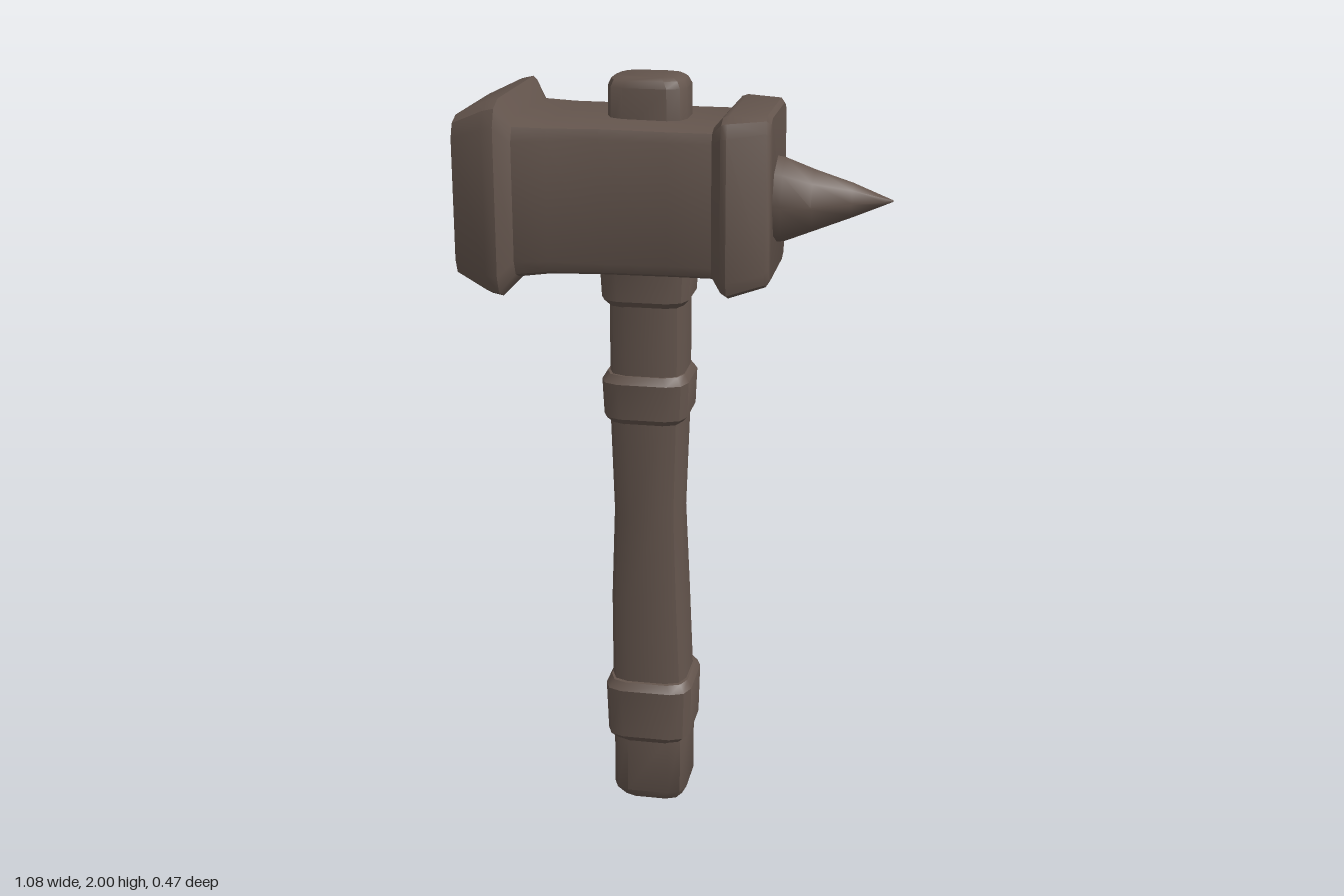
import * as THREE from 'three';
import { toCreasedNormals } from 'three/addons/utils/BufferGeometryUtils.js';

// Rounded rectangle ring, counter-clockwise in (u, v)
function ring(u0, u1, v0, v1, c) {
  const cu = Math.min(c, (u1 - u0) * 0.49), cv = Math.min(c, (v1 - v0) * 0.49);
  const corners = [[u1 - cu, v1 - cv], [u0 + cu, v1 - cv], [u0 + cu, v0 + cv], [u1 - cu, v0 + cv]];
  const points = [];
  corners.forEach(([u, v], k) => {
    for (let s = 0; s < 3; s++) {
      const a = (k + s / 2) * Math.PI / 2;
      points.push([u + cu * Math.cos(a), v + cv * Math.sin(a)]);
    }
  });
  return points;
}

// Loft through sections [t, u0, u1, v0, v1, corner]; place maps (t, u, v) to xyz
function loft(sections, place, crease = 0.62) {
  const n = 12, pos = [], index = [];
  for (const [t, ...r] of sections) for (const [u, v] of ring(...r)) pos.push(...place(t, u, v));
  for (let s = 0; s < sections.length - 1; s++) {
    for (let i = 0; i < n; i++) {
      const a = s * n + i, b = s * n + (i + 1) % n;
      index.push(a, b, b + n, a, b + n, a + n);
    }
  }
  const top = (sections.length - 1) * n;
  for (let i = 1; i < n - 1; i++) {
    index.push(0, i + 1, i);
    index.push(top, top + i, top + i + 1);
  }
  const g = new THREE.BufferGeometry();
  g.setAttribute('position', new THREE.Float32BufferAttribute(pos, 3));
  g.setIndex(index);
  return toCreasedNormals(g, crease);
}

const alongX = (t, u, v) => [t, u, v]; // u = y, v = z
const alongY = (t, u, v) => [v, t, u]; // u = z, v = x

export function createModel() {
  const model = new THREE.Group();
  const brown = new THREE.MeshStandardMaterial({ color: 0x64554d });
  brown.name = 'dull brown';
  const add = (name, geometry) => {
    const mesh = new THREE.Mesh(geometry, brown);
    mesh.name = name;
    model.add(mesh);
  };

  // Block head with a flared striking face and a collar at the spike end
  add('hammerHead', loft([
    [-0.54, 1.53, 1.88, -0.18, 0.18, 0.04],
    [-0.535, 1.505, 1.91, -0.205, 0.2, 0.05],
    [-0.45, 1.465, 1.95, -0.235, 0.23, 0.06],
    [-0.42, 1.46, 1.957, -0.237, 0.233, 0.06],
    [-0.385, 1.505, 1.905, -0.2, 0.197, 0.05],
    [-0.3, 1.517, 1.9, -0.192, 0.188, 0.04],
    [-0.17, 1.52, 1.9, -0.183, 0.18, 0.035],
    [0, 1.52, 1.897, -0.18, 0.175, 0.035],
    [0.11, 1.52, 1.897, -0.179, 0.175, 0.035],
    [0.135, 1.485, 1.925, -0.203, 0.199, 0.045],
    [0.15, 1.475, 1.93, -0.207, 0.203, 0.05],
    [0.24, 1.5, 1.93, -0.162, 0.162, 0.04],
    [0.25, 1.515, 1.92, -0.15, 0.15, 0.04],
  ], alongX));

  // Pointed rear spike
  add('spike', loft([
    [0.23, 1.585, 1.81, -0.105, 0.105, 0.2],
    [0.27, 1.59, 1.803, -0.105, 0.105, 0.2],
    [0.345, 1.62, 1.775, -0.1, 0.1, 0.2],
    [0.44, 1.658, 1.745, -0.048, 0.048, 0.2],
    [0.515, 1.69, 1.715, -0.014, 0.014, 0.2],
    [0.54, 1.701, 1.705, -0.002, 0.002, 0.2],
  ], alongX, 0.9));

  // Slightly waisted, uneven shaft
  add('handleShaft', loft([
    [0, -0.08, 0.085, -0.15, 0.015, 0.04],
    [0.03, -0.1, 0.105, -0.172, 0.03, 0.045],
    [0.2, -0.1, 0.104, -0.172, 0.031, 0.045],
    [0.38, -0.1, 0.1, -0.176, 0.028, 0.05],
    [0.6, -0.098, 0.1, -0.176, 0.02, 0.05],
    [0.85, -0.078, 0.098, -0.168, 0.014, 0.055],
    [1.1, -0.097, 0.1, -0.174, 0.02, 0.05],
    [1.3, -0.097, 0.098, -0.174, 0.023, 0.05],
    [1.56, -0.097, 0.098, -0.174, 0.023, 0.05],
  ], alongY, 0.75));

  // Collars: [name, bottom, top, z min, z max, x min, x max]
  for (const [name, y0, y1, z0, z1, x0, x1] of [
    ['lowerCollar', 0.18, 0.365, -0.12, 0.125, -0.19, 0.046],
    ['middleCollar', 1.1, 1.24, -0.115, 0.117, -0.192, 0.036],
    ['upperCollar', 1.415, 1.55, -0.107, 0.115, -0.195, 0.04],
  ]) {
    add(name, loft([
      [y0, z0 + 0.025, z1 - 0.025, x0 + 0.025, x1 - 0.025, 0.045],
      [y0 + 0.025, z0 + 0.003, z1 - 0.003, x0 + 0.004, x1 - 0.004, 0.05],
      [y1 - 0.02, z0, z1, x0, x1, 0.05],
      [y1, z0 + 0.014, z1 - 0.014, x0 + 0.012, x1 - 0.012, 0.05],
    ], alongY));
  }

  // Handle end showing above the head
  add('handleTop', loft([
    [1.86, -0.082, 0.078, -0.175, 0.026, 0.045],
    [1.975, -0.082, 0.078, -0.175, 0.026, 0.045],
    [1.992, -0.075, 0.07, -0.168, 0.018, 0.045],
    [2, -0.06, 0.056, -0.152, 0.004, 0.04],
  ], alongY));

  return model;
}
